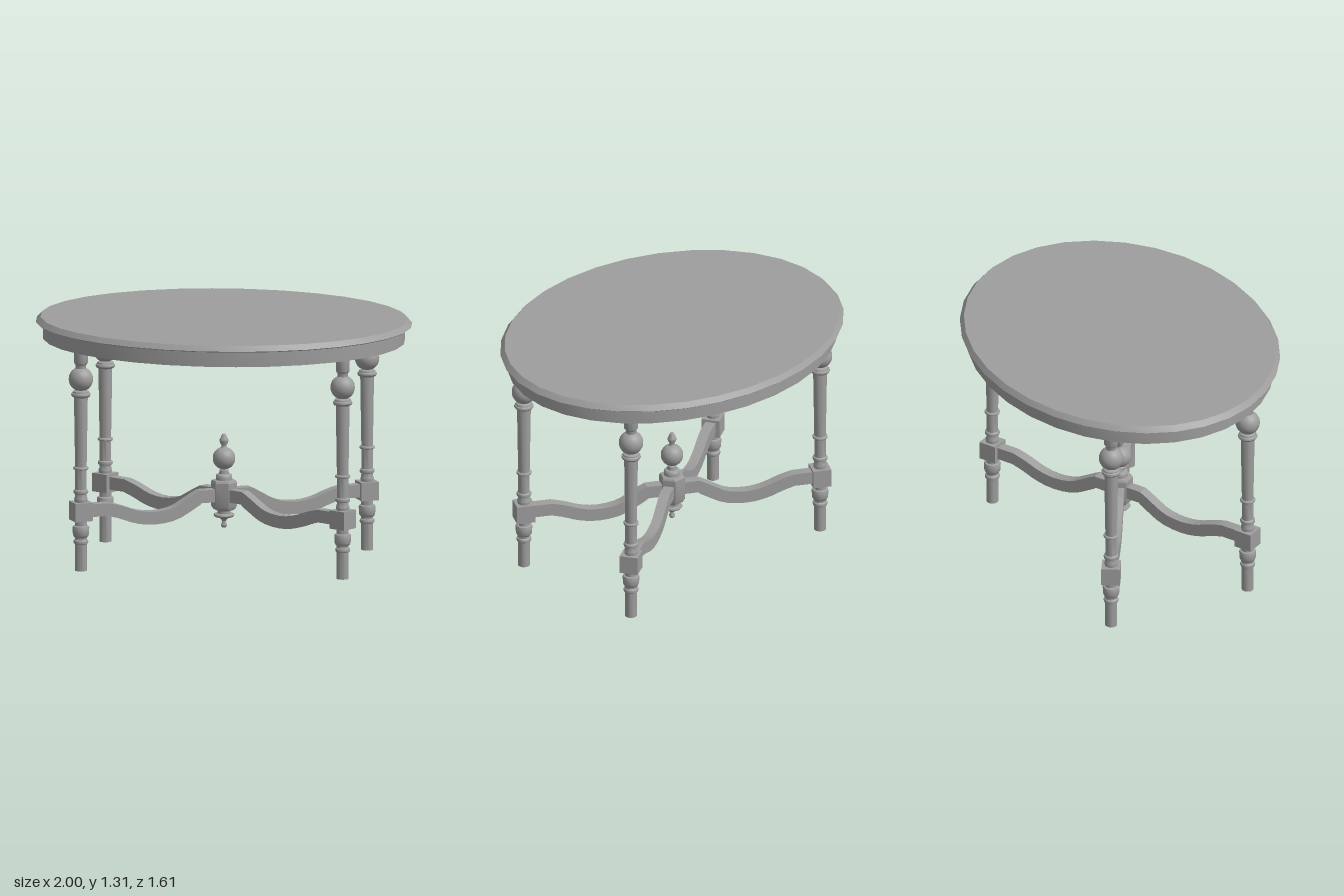
import * as THREE from 'three';
import { toCreasedNormals } from 'three/addons/utils/BufferGeometryUtils.js';

const material = new THREE.MeshStandardMaterial({ color: 0x9d9d9d });

function part(name, geometry, parent, crease = 0.6) {
  const mesh = new THREE.Mesh(toCreasedNormals(geometry, crease), material);
  mesh.name = name;
  parent.add(mesh);
  return mesh;
}

// Turned solid from [radius, height] pairs, listed bottom to top
function turned(profile, sides = 20, start = 0) {
  return new THREE.LatheGeometry(profile.map(([r, y]) => new THREE.Vector2(r, y)), sides, start);
}

// Profile points of a ball between two necks
function ball(radius, y, neck, steps = 12) {
  const a = Math.acos(neck / radius);
  return Array.from({ length: steps + 1 }, (_, i) => {
    const t = -a + (2 * a * i) / steps;
    return [radius * Math.cos(t), y + radius * Math.sin(t)];
  });
}

const FOOT = [[0, 0], [0.032, 0], [0.032, 0.143], [0.038, 0.147], [0.04, 0.155], [0.038, 0.163],
  [0.032, 0.168], [0.032, 0.178], [0.038, 0.184], [0.043, 0.195], [0.045, 0.23], [0.042, 0.239],
  [0.032, 0.243], [0.032, 0.28]];

const SHAFT = [[0.032, 0.36], [0.036, 0.385], [0.032, 0.395], [0.031, 0.412], [0.038, 0.416],
  [0.04, 0.424], [0.038, 0.432], [0.031, 0.437], [0.031, 0.542], [0.039, 0.545], [0.041, 0.551],
  [0.039, 0.557], [0.031, 0.56], [0.037, 0.932], [0.046, 0.936], [0.052, 0.945], [0.05, 0.954],
  [0.044, 0.958], [0.043, 0.965], [0.028, 0.972], ...ball(0.065, 1.03, 0.028),
  [0.028, 1.105], [0.037, 1.118], [0.037, 1.195]];

// Curved rail running outwards along +x, with constant thickness
function railGeometry(width, thickness) {
  const curve = new THREE.SplineCurve([[0.14, 0.353], [0.205, 0.315], [0.29, 0.272], [0.4, 0.257],
    [0.5, 0.27], [0.59, 0.302], [0.66, 0.322]].map(p => new THREE.Vector2(...p)));
  const centre = [new THREE.Vector2(0.02, 0.353), ...curve.getPoints(14), new THREE.Vector2(0.79, 0.322)];
  const edge = side => centre.map((p, i) => {
    const t = centre[Math.min(i + 1, centre.length - 1)].clone().sub(centre[Math.max(i - 1, 0)]).normalize();
    if (i === 0 || i === centre.length - 1) t.set(1, 0);
    return new THREE.Vector2(p.x - t.y * side, p.y + t.x * side);
  });
  const shape = new THREE.Shape([...edge(-thickness / 2), ...edge(thickness / 2).reverse()]);
  const geometry = new THREE.ExtrudeGeometry(shape, { depth: width, bevelEnabled: false });
  return geometry.translate(0, 0, -width / 2);
}

export function createModel() {
  const table = new THREE.Group();
  table.name = 'ovalTable';

  // Oval top with a sloping rim, over a plain apron
  const top = new THREE.Group();
  top.name = 'top';
  top.scale.z = 0.803;
  table.add(top);
  part('tabletop', turned([[0, 1.273], [0.992, 1.273], [1, 1.278], [0.975, 1.306], [0, 1.306]], 32), top, 0.35);
  part('apron', turned([[0, 1.19], [0.962, 1.19], [0.962, 1.275]], 32), top);

  // Four turned legs, each with a square block and a rail to the centre
  for (const sx of [-1, 1]) for (const sz of [-1, 1]) {
    const angle = Math.atan2(-sz * 0.403, sx * 0.7);
    const leg = new THREE.Group();
    leg.name = 'leg';
    leg.position.set(sx * 0.7, 0, sz * 0.403);
    table.add(leg);
    part('foot', turned(FOOT), leg);
    part('legShaft', turned(SHAFT), leg);
    const block = part('legBlock', new THREE.BoxGeometry(0.099, 0.099, 0.099), leg);
    block.position.y = 0.32;
    block.rotation.y = angle;
    part('stretcherRail', railGeometry(0.055, 0.068), table, 0.45).rotation.y = angle;
  }

  // Six-sided hub where the rails meet
  const hub = new THREE.Group();
  hub.name = 'centrePiece';
  table.add(hub);
  part('hub', turned([[0, 0.268], [0.045, 0.268], [0.06, 0.276], [0.07, 0.295], [0.07, 0.42],
    [0.064, 0.43], [0.045, 0.434], [0, 0.434]], 6, Math.PI / 6), hub, 0.45);

  // Ball finial above and turned drop below
  part('finial', turned([[0.044, 0.43], [0.044, 0.453], [0.038, 0.462], [0.026, 0.466], [0.024, 0.485],
    ...ball(0.06, 0.548, 0.018), [0.014, 0.612], [0.014, 0.618], [0.023, 0.637], [0.024, 0.646],
    [0.017, 0.66], [0.01, 0.677], [0, 0.682]]), hub);
  part('drop', turned([[0, 0.174], [0.012, 0.177], [0.017, 0.188], [0.012, 0.2], [0.011, 0.212],
    [0.022, 0.226], [0.048, 0.234], [0.055, 0.242], [0.052, 0.25], [0.036, 0.253], [0.036, 0.275]]), hub);

  return table;
}
